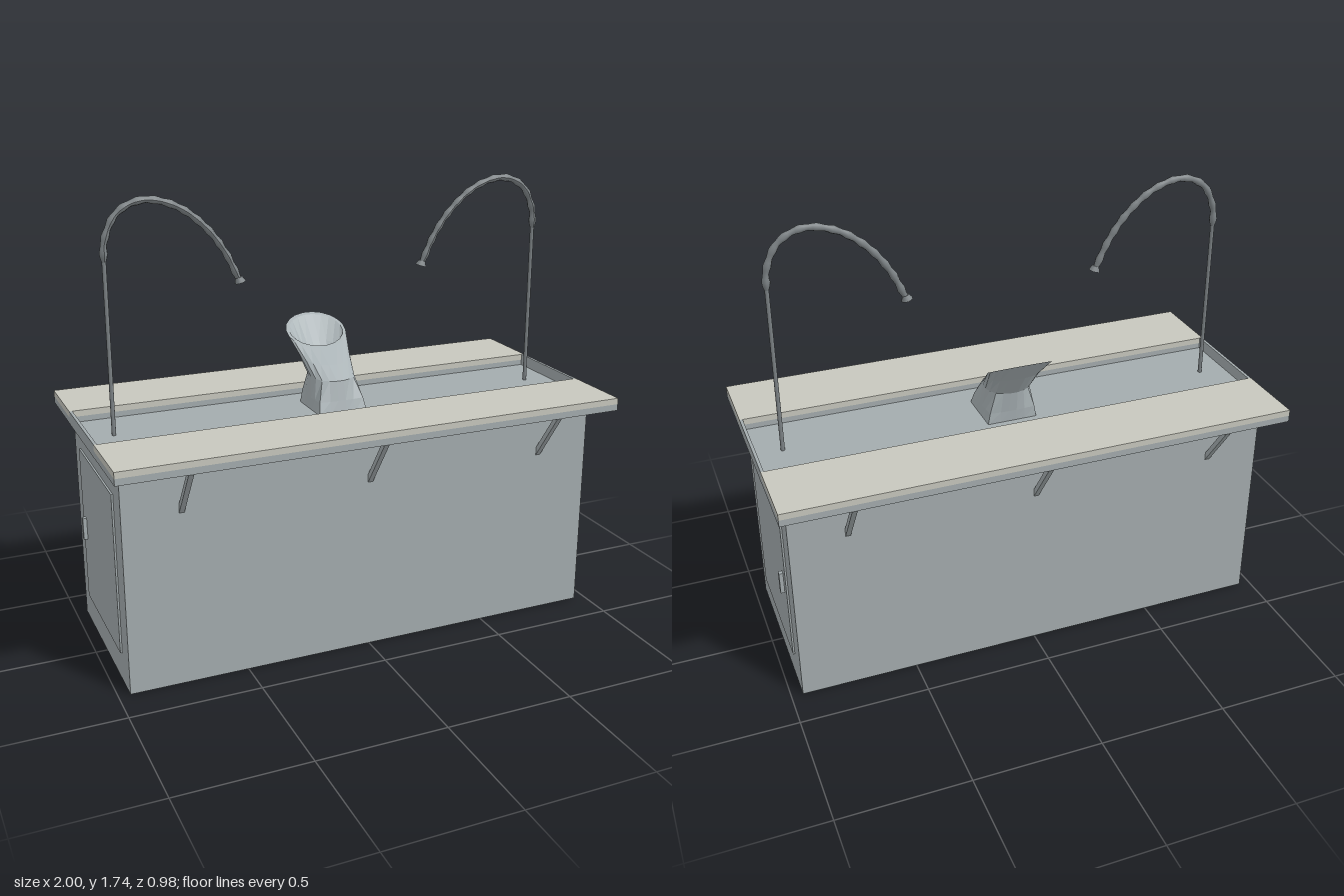
import * as THREE from 'three';

const steel = new THREE.MeshStandardMaterial({ color: 0xa3abad });
steel.name = 'brushed steel';
const stone = new THREE.MeshStandardMaterial({ color: 0xc7c7bd });
stone.name = 'pale worktop';
const pipe = new THREE.MeshStandardMaterial({ color: 0x7c8285 });
pipe.name = 'dark pipe metal';
const spoutSteel = new THREE.MeshStandardMaterial({ color: 0xa9b2b5, flatShading: true });
spoutSteel.name = 'spout steel';

// Box given by its min and max corners
function box(parent, name, mat, [x0, y0, z0], [x1, y1, z1]) {
  const m = new THREE.Mesh(new THREE.BoxGeometry(x1 - x0, y1 - y0, z1 - z0), mat);
  m.position.set((x0 + x1) / 2, (y0 + y1) / 2, (z0 + z1) / 2);
  m.name = name;
  parent.add(m);
  return m;
}

// Closed skin through rings of equal point count, joined first to last
function loft(rings) {
  const n = rings[0].length;
  const index = [];
  for (let r = 0; r < rings.length - 1; r++) {
    for (let i = 0; i < n; i++) {
      const a = r * n + i, b = r * n + (i + 1) % n;
      index.push(a, a + n, b, b, a + n, b + n);
    }
  }
  const g = new THREE.BufferGeometry();
  g.setAttribute('position', new THREE.Float32BufferAttribute(rings.flat(2), 3));
  g.setIndex(index);
  g.computeVertexNormals();
  return g;
}

// Slanted spout: square foot blending into a wide tilted oval mouth
function makeSpout() {
  const n = 20;
  // rx, rz: half sizes, y, z: centre, tilt: rise towards the back, square: 0..1
  const ring = ({ rx, rz, y, z, tilt, square }, wall) =>
    Array.from({ length: n }, (_, i) => {
      const a = (i / n) * Math.PI * 2 + Math.PI / 4;
      const c = Math.cos(a), s = Math.sin(a);
      const k = 1 + square * (1 / Math.max(Math.abs(c), Math.abs(s)) - 1);
      return [c * k * (rx - wall), y - s * tilt * (rz - wall) / rz, z + s * k * (rz - wall)];
    });
  const sections = [
    { rx: 0.1, rz: 0.1, y: 0.872, z: 0, tilt: 0, square: 1 },
    { rx: 0.097, rz: 0.097, y: 0.92, z: -0.009, tilt: 0, square: 0.8 },
    { rx: 0.09, rz: 0.096, y: 1.0, z: -0.025, tilt: 0.005, square: 0.1 },
    { rx: 0.105, rz: 0.095, y: 1.07, z: -0.095, tilt: 0.03, square: 0 },
    { rx: 0.125, rz: 0.092, y: 1.141, z: -0.174, tilt: 0.053, square: 0 },
  ];
  const outer = sections.map(s => ring(s, 0));
  const inner = sections.map(s => ring(s, 0.013)).reverse();
  const m = new THREE.Mesh(loft([...outer, ...inner]), spoutSteel);
  m.material.side = THREE.DoubleSide;
  m.name = 'spout';
  return m;
}

// Tap on the +x side; side mirrors it
function makeTap(side) {
  const tap = new THREE.Group();
  tap.name = side > 0 ? 'leftTap' : 'rightTap';

  const post = new THREE.Mesh(new THREE.CylinderGeometry(0.008, 0.008, 0.67, 10), pipe);
  post.position.set(side * 0.88, 1.205, 0);
  post.name = 'tapPost';
  tap.add(post);

  // Ribbed gooseneck: tube whose rings swell and shrink along the path
  const pts = [[0.88, 1.52], [0.876, 1.59], [0.835, 1.68], [0.775, 1.72], [0.705, 1.729],
    [0.6, 1.695], [0.5, 1.615], [0.43, 1.52], [0.383, 1.422]]
    .map(([x, y]) => new THREE.Vector3(side * x, y, 0));
  const path = new THREE.CatmullRomCurve3(pts);
  const segs = 52, sides = 8;
  const g = new THREE.TubeGeometry(path, segs, 0.014, sides);
  const p = g.attributes.position, v = new THREE.Vector3();
  for (let r = 0; r <= segs; r++) {
    const c = path.getPointAt(r / segs);
    const k = r === 0 ? 0.6 : [0.82, 0.95, 1.12, 0.95][r % 4];
    for (let j = 0; j <= sides; j++) {
      const i = r * (sides + 1) + j;
      v.fromBufferAttribute(p, i).sub(c).multiplyScalar(k).add(c);
      p.setXYZ(i, v.x, v.y, v.z);
    }
  }
  g.computeVertexNormals();
  const neck = new THREE.Mesh(g, pipe);
  neck.name = 'gooseneck';
  tap.add(neck);

  // Flared outlet
  const outlet = new THREE.Mesh(new THREE.CylinderGeometry(0.013, 0.022, 0.02, 12), pipe);
  outlet.position.set(side * 0.378, 1.414, 0);
  outlet.rotation.z = -side * 0.3;
  outlet.name = 'tapOutlet';
  tap.add(outlet);
  return tap;
}

export function createModel() {
  const model = new THREE.Group();
  model.name = 'washStation';

  box(model, 'cabinet', steel, [-0.955, 0, -0.352], [0.955, 0.87, 0.352]);
  box(model, 'trayFloor', steel, [-1, 0.869, -0.2], [1, 0.874, 0.2]);

  // Two worktop planks on steel bases
  for (const s of [1, -1]) {
    const z0 = s > 0 ? 0.2 : -0.49, z1 = s > 0 ? 0.49 : -0.2;
    box(model, 'worktopBase', steel, [-1, 0.87, z0], [1, 0.896, z1]);
    box(model, 'worktop', stone, [-1, 0.896, z0], [1, 0.92, z1]);
  }

  // Tray ends, doors and handles
  for (const s of [1, -1]) {
    const end = new THREE.Group();
    end.name = s > 0 ? 'leftEnd' : 'rightEnd';
    const at = (name, x0, x1, y0, y1, z0, z1) =>
      box(end, name, steel, [Math.min(s * x0, s * x1), y0, z0], [Math.max(s * x0, s * x1), y1, z1]);
    at('trayEnd', 0.988, 1, 0.87, 0.92, -0.2, 0.2);
    at('door', 0.95, 0.962, 0.12, 0.747, -0.256, 0.256);
    at('doorHandle', 0.96, 0.977, 0.388, 0.477, -0.217, -0.198);
    model.add(end);
  }

  // Diagonal brackets under both overhangs
  const profile = new THREE.Shape([[0.35, 0.675], [0.49, 0.871], [0.466, 0.871], [0.35, 0.708]]
    .map(([z, y]) => new THREE.Vector2(z, y)));
  const strut = new THREE.ExtrudeGeometry(profile, { depth: 0.02, bevelEnabled: false });
  strut.translate(0, 0, -0.01);
  for (const s of [1, -1]) {
    for (const x of [-0.735, 0, 0.735]) {
      const b = new THREE.Mesh(strut, steel);
      b.rotation.y = -s * Math.PI / 2;
      b.position.x = x;
      b.name = s > 0 ? 'frontBracket' : 'backBracket';
      model.add(b);
    }
  }

  model.add(makeSpout(), makeTap(1), makeTap(-1));
  return model;
}
